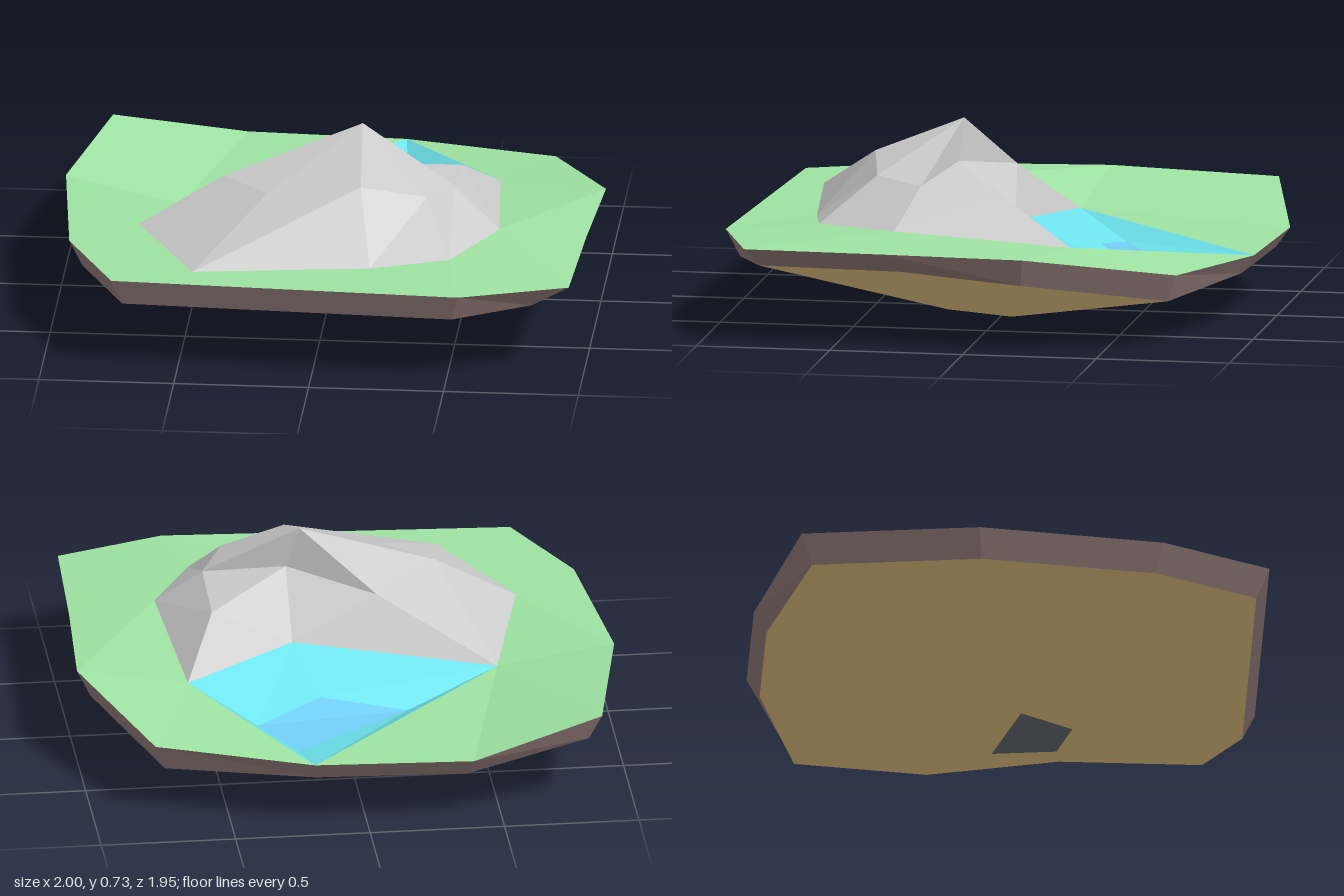
import * as THREE from 'three';

const V = (x, y, z) => new THREE.Vector3(x, y, z);

// Faceted mesh from a list of triangles (three corners each)
function facets(name, color, triangles) {
  const geometry = new THREE.BufferGeometry().setFromPoints(triangles.flat());
  geometry.computeVertexNormals();
  const material = new THREE.MeshStandardMaterial({ color, flatShading: true, side: THREE.DoubleSide });
  const mesh = new THREE.Mesh(geometry, material);
  mesh.name = name;
  return mesh;
}

// Wall between two rings of equal length, facing outward
function wall(top, bottom) {
  const out = [];
  top.forEach((t, i) => {
    const j = (i + 1) % top.length;
    if (bottom[i] !== bottom[j]) out.push([t, bottom[i], bottom[j]]);
    out.push([t, bottom[j], top[j]]);
  });
  return out;
}

export function createModel() {
  const group = new THREE.Group();
  group.name = 'floatingIsland';

  // Rim of the island, starting at the tip of the pond
  const rim = [
    V(0.2, 0.26, -0.95), V(-0.39, 0.26, -0.98), V(-0.88, 0.36, -0.85), V(-1, 0.36, -0.2),
    V(-0.93, 0.36, 0.49), V(-0.74, 0.36, 0.9), V(0.55, 0.36, 0.97), V(0.95, 0.36, 0.83),
    V(0.97, 0.36, 0.3), V(1, 0.36, -0.22), V(0.77, 0.28, -0.76),
  ];
  const tip = rim[0];

  // Lower edge of the soil band, with a dent on one side
  const lower = rim.map((p) => V(p.x * 0.95, p.y - 0.105 + (p.y < 0.27 ? 0.035 : 0), p.z * 0.95));
  lower[7].set(0.81, 0.275, 0.8);
  lower[8].set(0.82, 0.27, 0.27);

  // Small foot under the island
  const foot = [V(0.2, 0, -0.04), V(-0.1, 0.03, 0.04), V(0, 0.02, 0.24), V(0.2, 0.02, 0.2)];
  const footOf = [0, 0, 1, 1, 1, 2, 2, 3, 0, 0, 0];

  // Foot of the rock and edge of the pond
  const a = V(-0.57, 0.275, -0.16), b = V(-0.69, 0.36, 0.29), c = V(-0.45, 0.36, 0.78);
  const d = V(0.2, 0.36, 0.69), e = V(0.49, 0.38, 0.63), f = V(0.65, 0.39, 0.32);
  const g = V(0.6, 0.34, -0.33), h = V(0.18, 0.36, -0.05);

  // Shoulders and peak of the rock
  const peak = V(0.13, 0.73, 0.15);
  const q = V(-0.38, 0.54, 0.24), r = V(-0.2, 0.54, 0.41), s = V(0.15, 0.6, 0.48);
  const t = V(0.39, 0.55, 0.43), u = V(0.48, 0.53, 0.25), v = V(0.48, 0.5, -0.06);
  const n = V(0.18, 0.575, 0.16), w = V(-0.14, 0.515, 0);

  // Bottom of the pond
  const i = V(-0.21, 0.22, -0.4), j = V(0.11, 0.27, -0.36);
  const k = V(0.36, 0.235, -0.51), l = V(0.23, 0.2, -0.68);

  // Grass between the rim and the rock and pond
  const [, r1, r2, r3, r4, r5, r6, r7, r8, r9, r10] = rim;
  const grass = [
    [tip, r1, a], [r1, r2, a], [r2, r3, a], [r3, b, a], [r3, r4, b], [r4, c, b], [r4, r5, c],
    [r5, r6, c], [r6, d, c], [r6, e, d], [r6, r7, e], [r7, f, e], [r7, r8, f], [r8, r9, f],
    [r9, g, f], [r9, r10, g], [r10, tip, g],
  ];

  group.add(
    facets('grass', 0x9fe3a3, grass),
    facets('soilBand', 0x97807d, wall(rim, lower)),
    facets('underside', 0xf2ce88, wall(lower, footOf.map((id) => foot[id]))),
    facets('foot', 0x6a7276, [[foot[0], foot[3], foot[2]], [foot[0], foot[2], foot[1]]]),
    facets('rock', 0xcccccc, [
      // lower slopes
      [a, b, q], [b, c, r], [b, r, q], [c, s, r], [c, d, s], [d, t, s], [d, e, t], [e, u, t],
      [e, f, u], [f, v, u], [f, g, v], [g, h, v], [h, n, v], [h, w, n], [h, a, w], [a, q, w],
      // summit
      [q, peak, w], [q, r, peak], [r, s, peak], [s, t, peak], [t, u, peak], [u, n, peak],
      [u, v, n], [w, peak, n],
    ]),
    facets('pondSlopes', 0x6fe6f0, [
      [a, h, j], [a, j, i], [h, g, k], [h, k, j], [g, tip, k], [k, tip, l], [tip, a, i], [tip, i, l],
    ]),
    facets('pondBottom', 0x70ccf4, [[i, j, k], [i, k, l]]),
  );
  return group;
}
